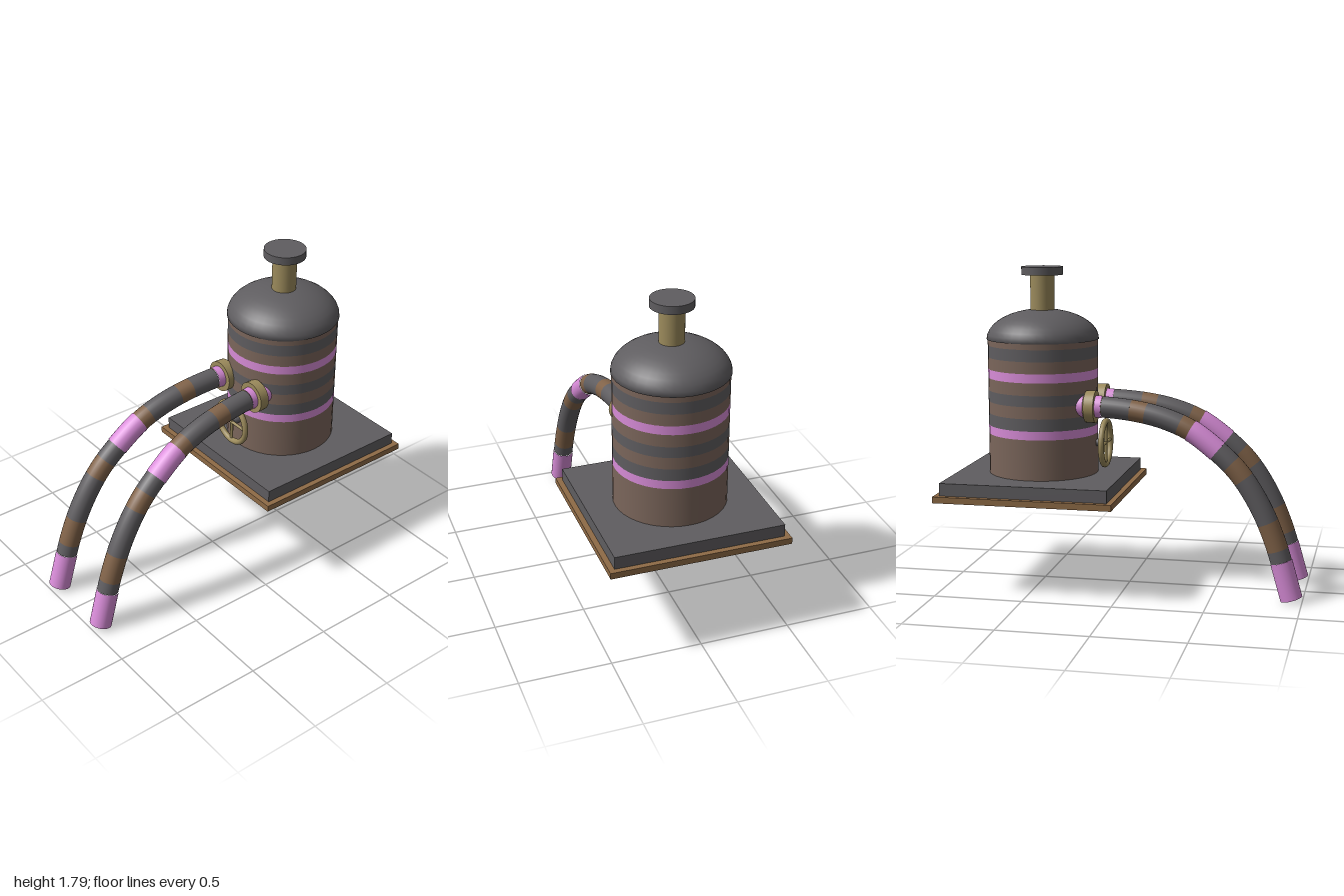
import * as THREE from 'three';

const mat = (name, color, side = THREE.FrontSide) => {
  const m = new THREE.MeshStandardMaterial({ color, side });
  m.name = name;
  return m;
};

export function createModel() {
  const model = new THREE.Group();
  const gray = mat('dark gray', 0x5f5d60);
  const brown = mat('tank brown', 0x7b665b);
  const pink = mat('pink', 0xd88cd8);
  const brass = mat('brass', 0x9c8b5c);
  const wood = mat('wood brown', 0x8f6b46);
  const rust = mat('hose brown', 0x806248);
  const CZ = -0.5; // tank axis

  const add = (name, geo, material, x = 0, y = 0, z = 0, parent = model) => {
    const mesh = new THREE.Mesh(geo, material);
    mesh.name = name;
    mesh.position.set(x, y, z);
    parent.add(mesh);
    return mesh;
  };

  // Base: a slab inside a thin wooden frame
  const square = (Type, h) => new Type([[-h, -h], [h, -h], [h, h], [-h, h]].map(p => new THREE.Vector2(...p)));
  const frameShape = square(THREE.Shape, 0.5);
  frameShape.holes.push(square(THREE.Path, 0.469));
  const frame = new THREE.ExtrudeGeometry(frameShape, { depth: 0.035, bevelEnabled: false }).rotateX(-Math.PI / 2);
  add('baseFrame', frame, wood, 0, 0.525, CZ);
  add('baseSlab', new THREE.BoxGeometry(0.938, 0.103, 0.938), gray, 0, 0.5785, CZ);

  // Tank: stacked coloured bands, from bottom to top
  const tank = new THREE.Group();
  tank.name = 'tank';
  model.add(tank);
  const bands = [
    [0.63, brown], [0.858, pink], [0.906, gray], [0.974, brown], [1.041, gray], [1.103, brown],
    [1.173, pink], [1.223, brown], [1.289, gray], [1.355, brown], [1.39, null],
  ];
  for (let i = 0; i < bands.length - 1; i++) {
    const [y0, m] = bands[i], y1 = bands[i + 1][0];
    add('tankBand', new THREE.CylinderGeometry(0.31, 0.31, y1 - y0, 40, 1, true), m, 0, (y0 + y1) / 2, CZ, tank);
  }

  // Domed roof with a small overhang
  const roof = [new THREE.Vector2(0.3, 1.385)];
  for (let i = 0; i <= 10; i++) {
    const a = (i / 10) * Math.PI / 2;
    roof.push(new THREE.Vector2(0.316 * Math.cos(a), 1.387 + 0.168 * Math.sin(a)));
  }
  add('domeRoof', new THREE.LatheGeometry(roof, 40), gray, 0, 0, CZ);

  // Chimney and its cap
  add('chimney', new THREE.CylinderGeometry(0.068, 0.068, 0.22, 32), brass, 0, 1.64, CZ);
  add('chimneyCap', new THREE.CylinderGeometry(0.117, 0.117, 0.045, 32), gray, 0, 1.768, CZ);

  // Valve wheel on the front of the tank
  const wheel = new THREE.Group();
  wheel.name = 'valveWheel';
  wheel.position.set(0, 0.803, -0.139);
  model.add(wheel);
  add('wheelRim', new THREE.TorusGeometry(0.123, 0.017, 12, 40), brass, 0, 0, 0, wheel);
  for (const turn of [0, Math.PI / 2]) {
    add('wheelSpoke', new THREE.CylinderGeometry(0.009, 0.009, 0.24, 10), brass, 0, 0, 0, wheel).rotation.z = turn;
  }
  add('valveStem', new THREE.CylinderGeometry(0.021, 0.021, 0.07, 16).rotateX(Math.PI / 2), gray, 0, 0, -0.04, wheel);

  // Two drooping hoses, banded along their length by z position
  const hoseBands = [
    [-0.27, pink], [-0.12, gray], [0.04, rust], [0.125, gray], [0.315, rust], [0.375, pink], [0.525, gray],
    [0.6, rust], [0.67, gray], [0.805, rust], [0.862, gray], [0.882, pink], [0.942, null],
  ];
  for (const [side, s] of [['left', 1], ['right', -1]]) {
    const hose = new THREE.Group();
    hose.name = side + 'Hose';
    model.add(hose);
    const path = new THREE.CatmullRomCurve3([
      [-0.27, 1.03], [-0.1, 1.03], [0.08, 1.013], [0.22, 0.983], [0.353, 0.933], [0.444, 0.877],
      [0.63, 0.716], [0.755, 0.535], [0.845, 0.335], [0.942, 0.017],
    ].map(([z, y]) => new THREE.Vector3(s * (0.142 + 0.06 * (z + 0.19)), y, z)));
    path.arcLengthDivisions = 400;

    // Fraction of the hose length at a given z
    const fractionAt = z => {
      let lo = 0, hi = 1;
      for (let i = 0; i < 24; i++) {
        const mid = (lo + hi) / 2;
        if (path.getPointAt(mid).z < z) lo = mid; else hi = mid;
      }
      return (lo + hi) / 2;
    };
    for (let i = 0; i < hoseBands.length - 1; i++) {
      const [z0, m] = hoseBands[i];
      const u0 = fractionAt(z0), u1 = fractionAt(hoseBands[i + 1][0]);
      const part = new THREE.Curve();
      part.getPoint = (t, target = new THREE.Vector3()) => path.getPointAt(u0 + (u1 - u0) * t, target);
      add('hoseBand', new THREE.TubeGeometry(part, 8, m === pink ? 0.0615 : 0.059, 24), m, 0, 0, 0, hose);
    }

    // Closed lower end
    const end = path.getPointAt(1);
    const cap = add('hoseEnd', new THREE.CircleGeometry(0.0615, 24), pink, end.x, end.y, end.z, hose);
    cap.lookAt(end.clone().add(path.getTangentAt(1)));

    // Brass flange where the hose meets the tank
    const flange = new THREE.LatheGeometry(
      [[0.05, -0.038], [0.065, -0.038], [0.088, -0.028], [0.088, -0.028], [0.09, 0.028], [0.09, 0.028], [0.05, 0.028]]
        .map(p => new THREE.Vector2(...p)), 32).rotateX(Math.PI / 2);
    add('hoseFlange', flange, brass, s * 0.142, 1.03, -0.188, hose);
  }
  return model;
}
